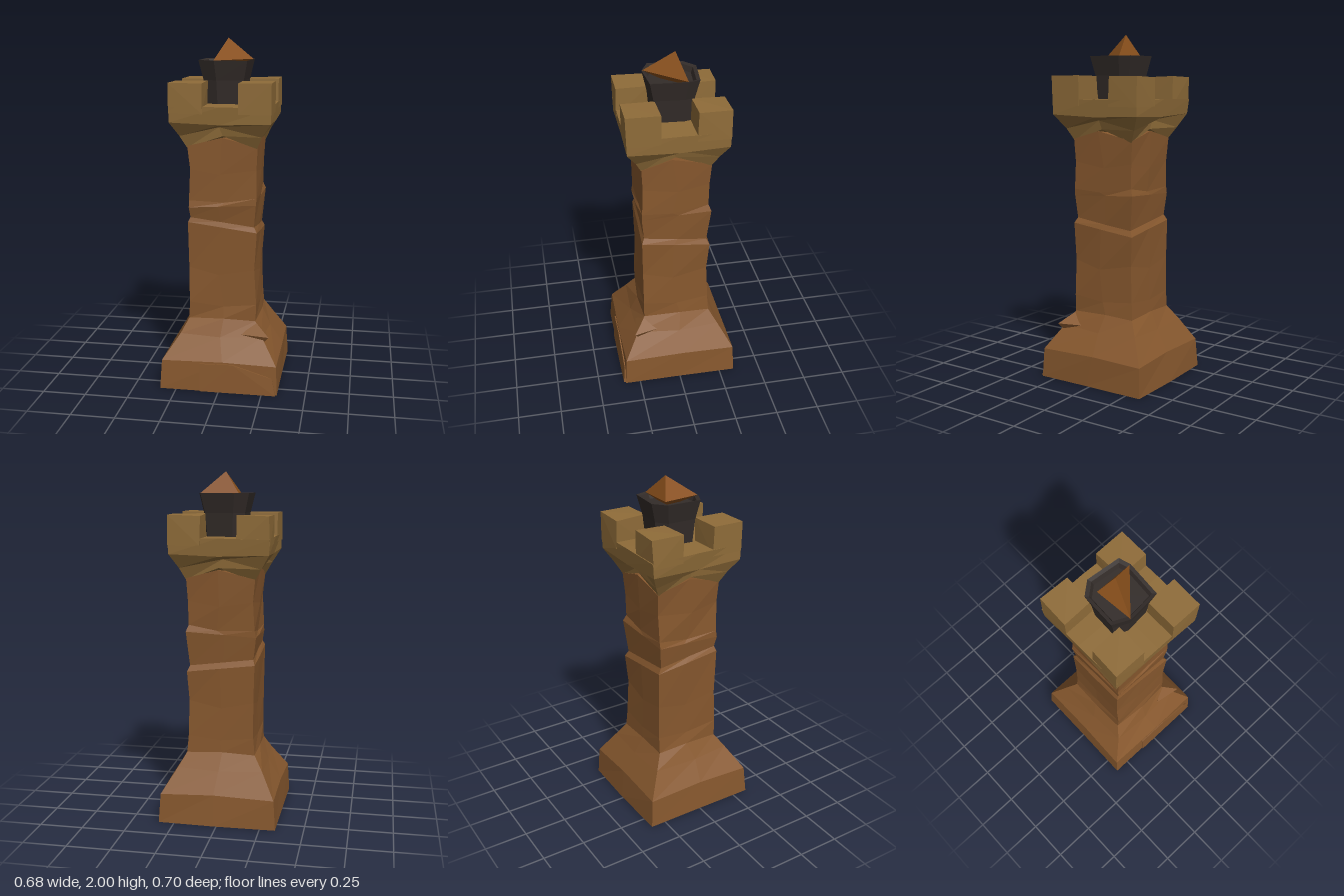
import * as THREE from 'three';
import { ConvexGeometry } from 'three/addons/geometries/ConvexGeometry.js';

// Skin a stack of rings (arrays of [x, y, z]) and close both ends
function loft(rings) {
  const pos = [], n = rings[0].length;
  const tri = (...pts) => pts.forEach(p => pos.push(...p));
  const centre = r => [0, 1, 2].map(k => r.reduce((s, p) => s + p[k], 0) / n);
  const first = rings[0], last = rings[rings.length - 1];
  const c0 = centre(first), c1 = centre(last);
  for (let i = 0; i < n; i++) {
    const j = (i + 1) % n;
    for (let k = 0; k < rings.length - 1; k++) {
      const a = rings[k], b = rings[k + 1];
      tri(a[i], b[i], a[j]);
      tri(a[j], b[i], b[j]);
    }
    tri(c0, first[i], first[j]);
    tri(c1, last[j], last[i]);
  }
  const g = new THREE.BufferGeometry();
  g.setAttribute('position', new THREE.Float32BufferAttribute(pos, 3));
  g.computeVertexNormals();
  return g;
}

// Small repeatable irregularity for the hewn stone
let seed = 7;
function jitter(amount) {
  seed = (seed * 16807) % 2147483647;
  return (seed / 2147483647 - 0.5) * 2 * amount;
}

// Corners and side middles of a square, going round from +x towards +z
const SQUARE = [[1, 0], [1, 1], [0, 1], [-1, 1], [-1, 0], [-1, -1], [0, -1], [1, -1]];

function squareRing([yCorner, yMid, hCorner, hMid, tilt = 0, rough = 0.007]) {
  return SQUARE.map(([sx, sz]) => {
    const corner = sx !== 0 && sz !== 0;
    const h = corner ? hCorner : hMid;
    const x = sx ? sx * h + jitter(rough) : jitter(rough * 4);
    const z = sz ? sz * h + jitter(rough) : jitter(rough * 4);
    const y = (corner ? yCorner : yMid) + tilt * (z - x);
    return [x, y, z];
  });
}

export function createModel() {
  const model = new THREE.Group();
  const add = (parent, name, geometry, color) => {
    const mesh = new THREE.Mesh(geometry, new THREE.MeshStandardMaterial({ color, flatShading: true }));
    mesh.name = name;
    parent.add(mesh);
    return mesh;
  };
  const STONE = 0x87582e, PALE_STONE = 0x8f6c39, IRON = 0x332c29, FIRE = 0x8a501c;

  // Flared foot, shaft with chipped ledges: [yCorner, yMid, halfCorner, halfMid, tilt, rough]
  const tower = [
    [0, 0, 0.342, 0.344, 0, 0.006],
    [0.17, 0.18, 0.33, 0.332, 0, 0.006],
    [0.31, 0.3, 0.245, 0.255],
    [0.39, 0.4, 0.197, 0.203],
    [0.49, 0.47, 0.193, 0.196],
    [0.7, 0.66, 0.191, 0.194],
    [0.92, 0.92, 0.196, 0.197, 0.125, 0.004],
    [0.95, 0.95, 0.182, 0.184, 0.125, 0.004],
    [1.08, 1.08, 0.196, 0.196, -0.06],
    [1.12, 1.1, 0.189, 0.19, -0.06],
    [1.28, 1.25, 0.19, 0.194],
    [1.41, 1.46, 0.2, 0.199],
  ];
  add(model, 'shaft', loft(tower.map(squareRing)), STONE);

  // Chipped lump on one corner of the foot
  const v = (x, y, z) => new THREE.Vector3(x, y, z);
  add(model, 'footChip', new ConvexGeometry([
    v(0.28, 0.32, 0.265), v(0.12, 0.32, 0.24), v(0.24, 0.32, 0.12), v(0.19, 0.39, 0.19), v(0.22, 0.24, 0.22),
  ]), STONE);

  // Loose facing slab at the front of the foot
  add(model, 'footSlab', new ConvexGeometry([
    v(-0.11, 0, 0.352), v(0.33, 0, 0.35), v(-0.11, 0.165, 0.342), v(0.08, 0.17, 0.342),
    v(-0.11, 0, 0.3), v(0.33, 0, 0.3), v(-0.11, 0.165, 0.3), v(0.08, 0.17, 0.3), v(0.31, 0.1, 0.34),
  ]), STONE);

  // Corbelled crown, dipping at the corners and arching in the middle of each side
  const crown = new THREE.Group();
  crown.name = 'crown';
  model.add(crown);
  const corbel = [
    [1.4, 1.47, 0.196, 0.196, 0, 0.003],
    [1.47, 1.52, 0.232, 0.205, 0, 0.005],
    [1.55, 1.54, 0.28, 0.275, 0, 0.004],
    [1.635, 1.64, 0.284, 0.286, 0, 0.003],
  ];
  add(crown, 'corbel', loft(corbel.map(squareRing)), PALE_STONE);

  // Four corner merlons
  for (const [sx, sz] of SQUARE.filter(([a, b]) => a && b)) {
    const pts = [];
    for (const [u, y] of [[0, 1.6], [1, 1.765]]) {
      for (const x of [0.1, 0.284]) for (const z of [0.1, 0.284]) {
        pts.push(v(sx * x + jitter(0.005), y + u * jitter(0.006), sz * z + jitter(0.005)));
      }
    }
    add(crown, 'merlon', new ConvexGeometry(pts), PALE_STONE);
  }

  // Irregular fire bowl: outer wall, rim, sunken floor
  const rim = [[0.145, -0.075], [0.13, 0.13], [-0.055, 0.145], [-0.15, 0.1], [-0.143, -0.1], [-0.07, -0.16], [0.125, -0.14]];
  const bowlRing = (y, s) => rim.map(([x, z]) => [x * s, y, z * s]);
  add(model, 'fireBowl', loft([
    bowlRing(1.6, 0.72), bowlRing(1.77, 0.83), bowlRing(1.88, 1), bowlRing(1.875, 0.87), bowlRing(1.845, 0.8),
  ]), IRON);

  // Pointed flame
  add(model, 'flame', new ConvexGeometry([
    v(0, 2, -0.03), v(0.138, 1.88, -0.075), v(-0.058, 1.88, 0.14), v(-0.08, 1.88, -0.078), v(0.01, 1.82, -0.01),
  ]), FIRE);

  return model;
}
